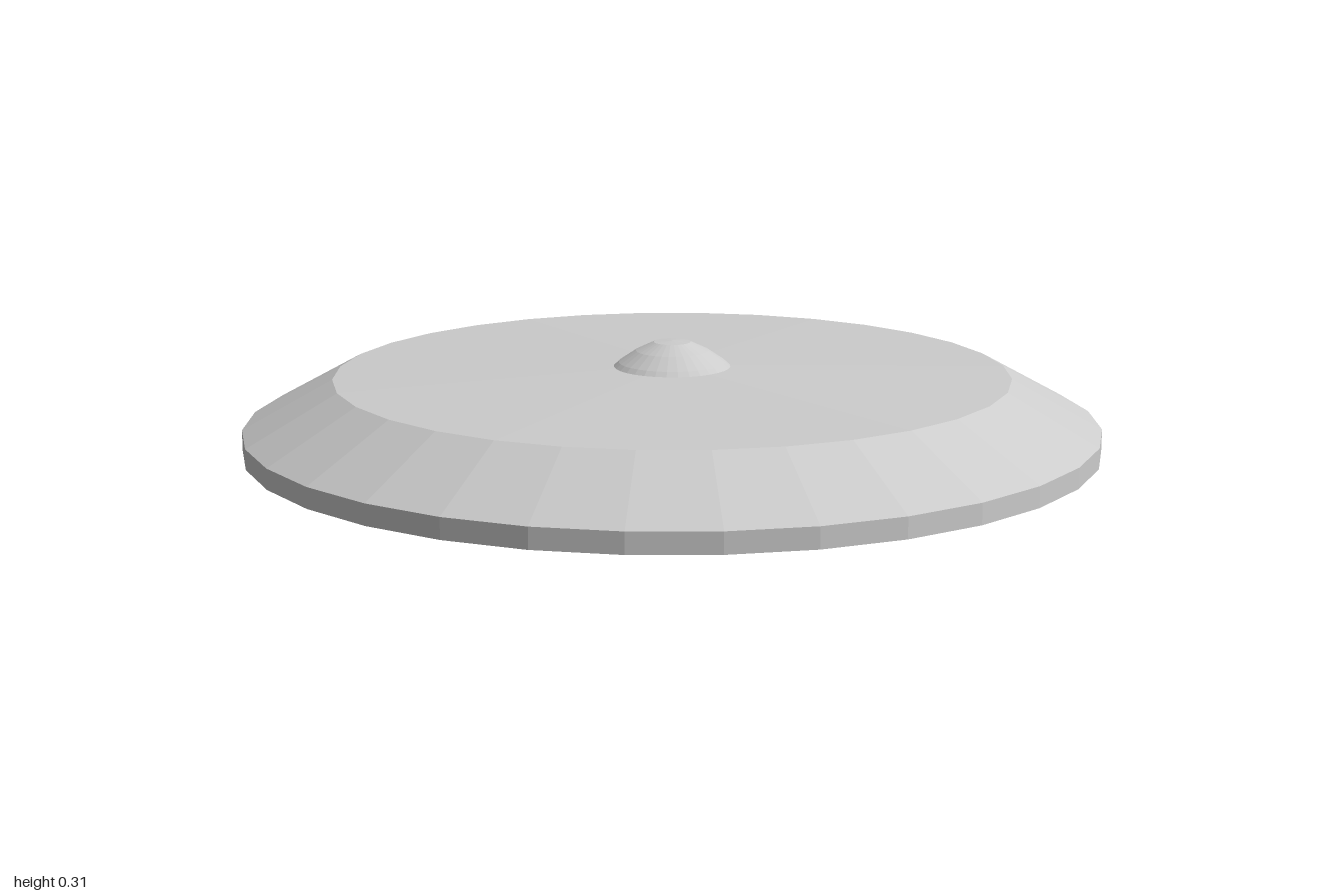
import * as THREE from 'three';

const SIDES = 32;

function material(flat) {
  return new THREE.MeshStandardMaterial({ color: 0xcccccc, flatShading: flat });
}

// Revolved part from [radius, height] pairs, listed counter-clockwise
function lathe(name, profile) {
  const points = profile.map(([r, y]) => new THREE.Vector2(r, y));
  const mesh = new THREE.Mesh(new THREE.LatheGeometry(points, SIDES), material(true));
  mesh.name = name;
  return mesh;
}

function rod(name, radius, length) {
  const mesh = new THREE.Mesh(new THREE.CylinderGeometry(radius, radius, length, 16), material(false));
  mesh.name = name;
  return mesh;
}

export function createModel() {
  const model = new THREE.Group();
  model.name = 'roundShield';

  // Dished plate: hollow underside, short vertical rim, bevel, shallow cone on top
  model.add(lathe('plate', [
    [0, 0.16], [0.75, 0.15], [1, 0.07], [1, 0.118], [0.79, 0.233], [0, 0.253],
  ]));

  // Raised central boss
  model.add(lathe('boss', [
    [0.137, 0.249], [0.125, 0.26], [0.085, 0.287], [0.043, 0.307], [0, 0.31],
  ]));

  // Grip behind the plate: two posts joined by a bar
  const handle = new THREE.Group();
  handle.name = 'handle';
  for (const z of [0.123, -0.133]) {
    const post = rod('handlePost', 0.026, 0.16);
    post.position.set(0, 0.08, z);
    handle.add(post);
  }
  const bar = rod('handleBar', 0.021, 0.25);
  bar.rotation.x = Math.PI / 2;
  bar.position.set(0, 0.033, -0.005);
  handle.add(bar);
  handle.position.x = 0.01;
  model.add(handle);

  return model;
}
